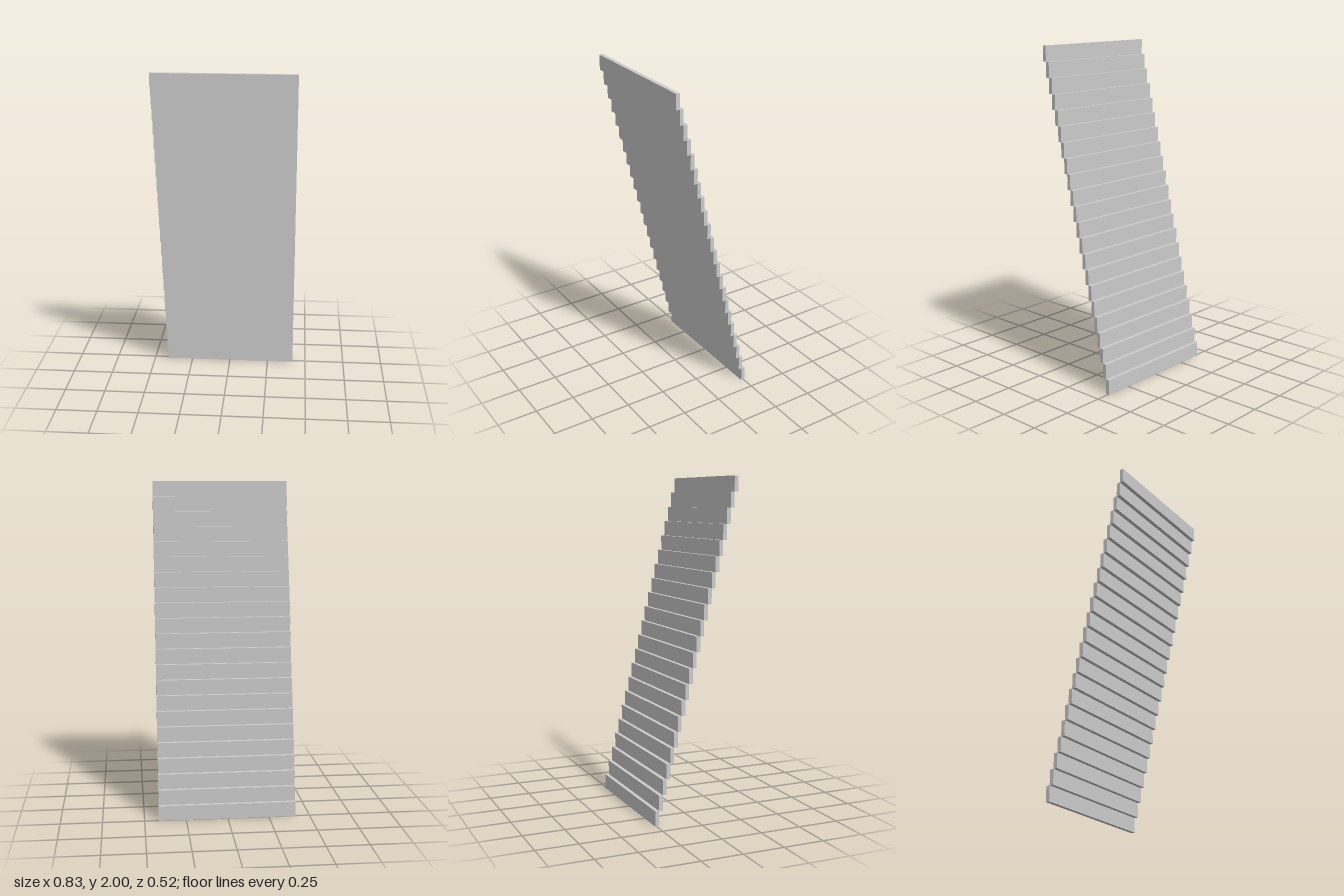
import * as THREE from 'three';

export function createModel() {
  const group = new THREE.Group();
  const material = new THREE.MeshStandardMaterial({ color: 0xcccccc, flatShading: true });

  // Leaning stack of identical slats, each stepped forward from the one below
  const count = 22, height = 2 / count, step = 0.0234;
  const slatGeometry = new THREE.BoxGeometry(0.829, height, 0.0238);

  for (let i = 0; i < count; i++) {
    const fromMiddle = i - (count - 1) / 2;
    const slat = new THREE.Mesh(slatGeometry, material);
    slat.name = `slat${i + 1}`;
    // The stack also drifts very slightly sideways
    slat.position.set(-0.00013 * fromMiddle, (i + 0.5) * height, fromMiddle * step);
    group.add(slat);
  }
  return group;
}
